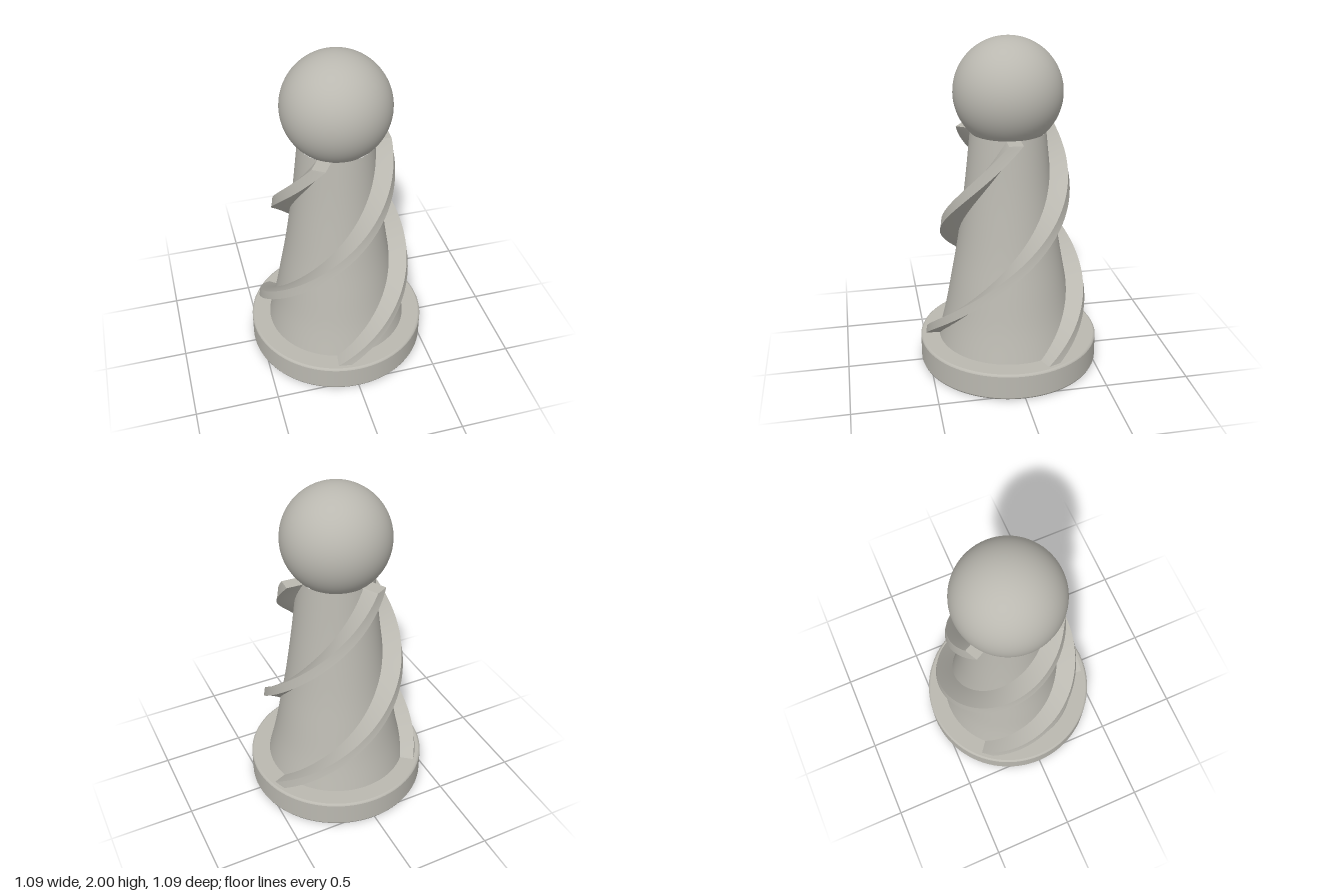
import * as THREE from 'three';

const BASE_TOP = 0.165, NECK = 1.46;

// Core radius by height, slightly concave
const coreProfile = [
  [0.43, 0.165], [0.385, 0.35], [0.345, 0.56], [0.31, 0.75],
  [0.28, 0.95], [0.25, 1.18], [0.22, 1.46],
].map(([r, y]) => new THREE.Vector2(r, y));
const coreCurve = new THREE.SplineCurve(coreProfile);

// One helical fin: a rectangular section swept up the core.
// Each side has its own vertices so the long edges stay sharp.
function finGeometry(startAngle) {
  const steps = 90, twist = THREE.MathUtils.degToRad(217), half = 0.04;
  const section = (t) => {
    const angle = startAngle - twist * t;
    const y = THREE.MathUtils.lerp(BASE_TOP - 0.005, NECK, t);
    const outer = THREE.MathUtils.lerp(0.512, 0.312, t);
    const inner = THREE.MathUtils.lerp(0.36, 0.17, t);
    const c = Math.cos(angle), s = Math.sin(angle);
    return [[outer, -half], [outer, half], [inner, half], [inner, -half]]
      .map(([r, w]) => [c * r - s * w, y, s * r + c * w]);
  };
  const positions = [], index = [];
  for (let side = 0; side < 4; side++) {
    const start = positions.length / 3;
    for (let i = 0; i <= steps; i++) {
      const corners = section(i / steps);
      positions.push(...corners[side], ...corners[(side + 1) % 4]);
      if (i < steps) {
        const a = start + i * 2;
        index.push(a, a + 2, a + 3, a, a + 3, a + 1);
      }
    }
  }
  // End caps
  for (const t of [0, 1]) {
    const n = positions.length / 3;
    section(t).forEach((p) => positions.push(...p));
    if (t === 0) index.push(n, n + 1, n + 2, n, n + 2, n + 3);
    else index.push(n, n + 2, n + 1, n, n + 3, n + 2);
  }
  const geometry = new THREE.BufferGeometry();
  geometry.setAttribute('position', new THREE.Float32BufferAttribute(positions, 3));
  geometry.setIndex(index);
  geometry.computeVertexNormals();
  return geometry;
}

export function createModel() {
  const model = new THREE.Group();
  model.name = 'spiralPawn';
  const stone = new THREE.MeshStandardMaterial({ color: 0xbab8b0 });
  stone.name = 'warm grey';

  const add = (name, geometry) => {
    const mesh = new THREE.Mesh(geometry, stone);
    mesh.name = name;
    model.add(mesh);
    return mesh;
  };

  // Base disc with small rounded rims; doubled points keep the flats crisp
  const R = 0.545, b = 0.012;
  const disc = [
    [0, 0], [R - b, 0], [R - b, 0], [R - b * 0.3, b * 0.3], [R, b], [R, b],
    [R, BASE_TOP - b], [R, BASE_TOP - b], [R - b * 0.3, BASE_TOP - b * 0.3],
    [R - b, BASE_TOP], [R - b, BASE_TOP], [0, BASE_TOP],
  ].map(([r, y]) => new THREE.Vector2(r, y));
  add('base', new THREE.LatheGeometry(disc, 96));

  // Tapered core and round head
  add('core', new THREE.LatheGeometry(coreCurve.getPoints(32), 80));
  add('head', new THREE.SphereGeometry(0.314, 64, 40)).position.y = 1.686;

  // Three fins wound around the core
  for (let i = 0; i < 3; i++) {
    const start = THREE.MathUtils.degToRad(99.5 - i * 120);
    add(`spiralFin${i + 1}`, finGeometry(start));
  }
  return model;
}
